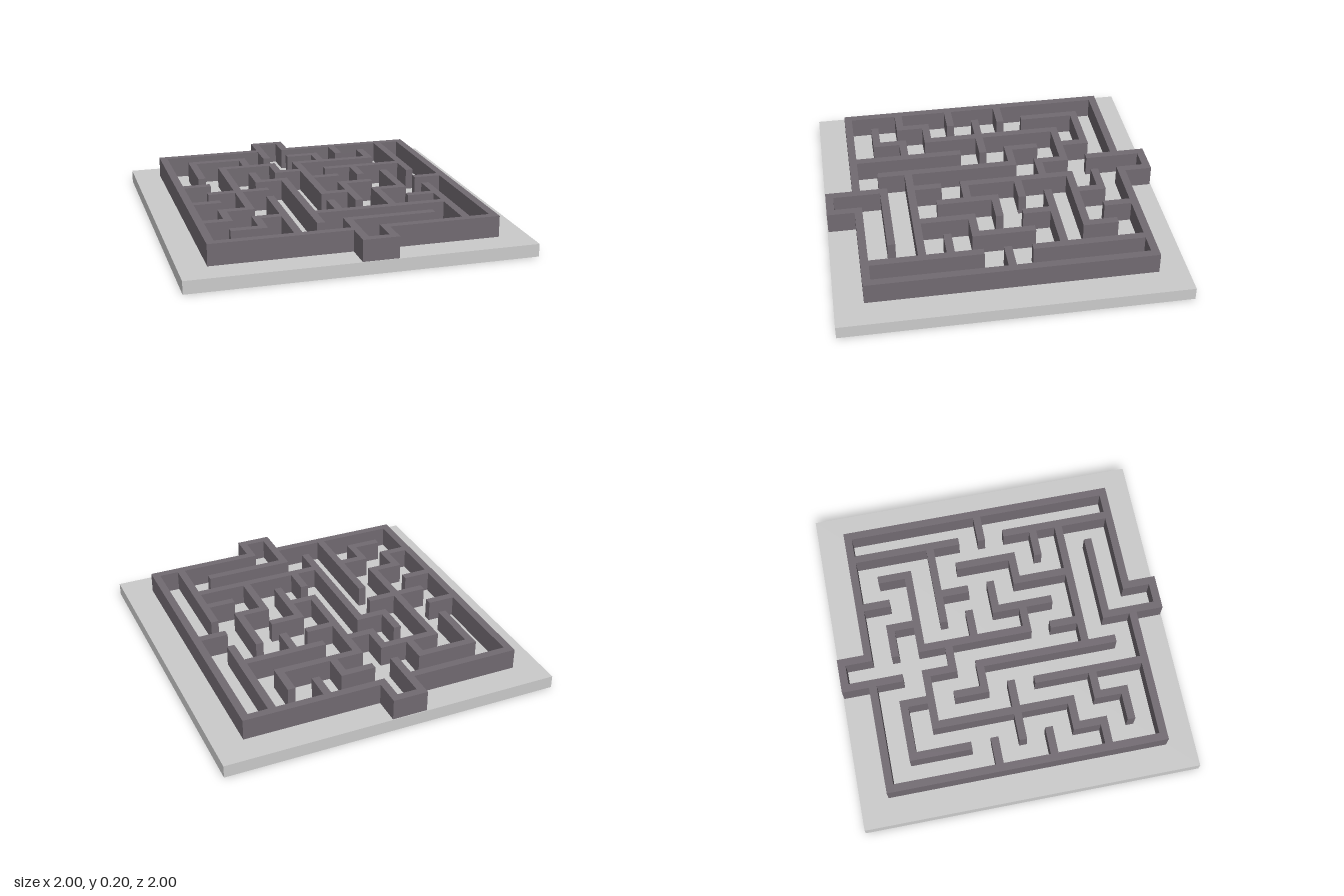
import * as THREE from 'three';

const STEP = 0.162, THICK = 0.046, BASE_TOP = 0.075, WALL_TOP = 0.2;

// Grid column / row to position
const gx = (i) => -0.815 + STEP * i;
const gz = (j) => -0.81 + STEP * j;

// Wall runs as "column,row" corners on the maze grid
const outerRuns = [
  '5,-1 4,-1 4,1', '5,-1 5,0 10,0 10,10 6,10 6,11 5,11 5,9 8,9', // right half, with both porches
  '4,0 0,0 0,10 5,10', // left half
];
const innerRuns = [
  '1,3 1,1 3,1 3,2', '2,7 2,2 4,2 4,3 5,3', '5,6 5,2 8,2 8,1', '5,1 6,1 6,2',
  '7,0 7,1', '9,0 9,4', '6,3 9,3', '7,3 7,4', '5,4 6,4', '0,4 1,4',
  '3,3 3,4 4,4 4,9', '1,5 3,5', '7,5 6,5 6,7', '5,6 6,6', '8,4 8,6 7,6 7,8',
  '9,5 10,5', '0,6 1,6', '3,6 3,10', '2,7 1,7 1,8 0,8', '3,8 2,8 2,9 1,9',
  '4,8 9,8', '5,7 5,8', '8,7 9,7', '9,6 9,10',
];

// One box per straight stretch of a run, squared off at the corners
function buildRun(run, name, material) {
  const group = new THREE.Group();
  group.name = name;
  const points = run.split(' ').map((p) => p.split(',').map(Number));
  for (let k = 1; k < points.length; k++) {
    const [i0, j0] = points[k - 1], [i1, j1] = points[k];
    const wall = new THREE.Mesh(new THREE.BoxGeometry(
      Math.abs(i1 - i0) * STEP + THICK, WALL_TOP - BASE_TOP, Math.abs(j1 - j0) * STEP + THICK), material);
    wall.position.set(gx((i0 + i1) / 2), (WALL_TOP + BASE_TOP) / 2, gz((j0 + j1) / 2));
    wall.name = 'wallSegment';
    group.add(wall);
  }
  return group;
}

export function createModel() {
  const model = new THREE.Group();
  model.name = 'maze';

  // Square base slab
  const base = new THREE.Mesh(new THREE.BoxGeometry(2, BASE_TOP, 2),
    new THREE.MeshStandardMaterial({ color: 0xcccccc }));
  base.position.y = BASE_TOP / 2;
  base.name = 'base';
  model.add(base);

  // Maze walls
  const wallMaterial = new THREE.MeshStandardMaterial({ color: 0x726b72 });
  outerRuns.forEach((run) => model.add(buildRun(run, 'outerWall', wallMaterial)));
  innerRuns.forEach((run) => model.add(buildRun(run, 'innerWall', wallMaterial)));
  return model;
}
